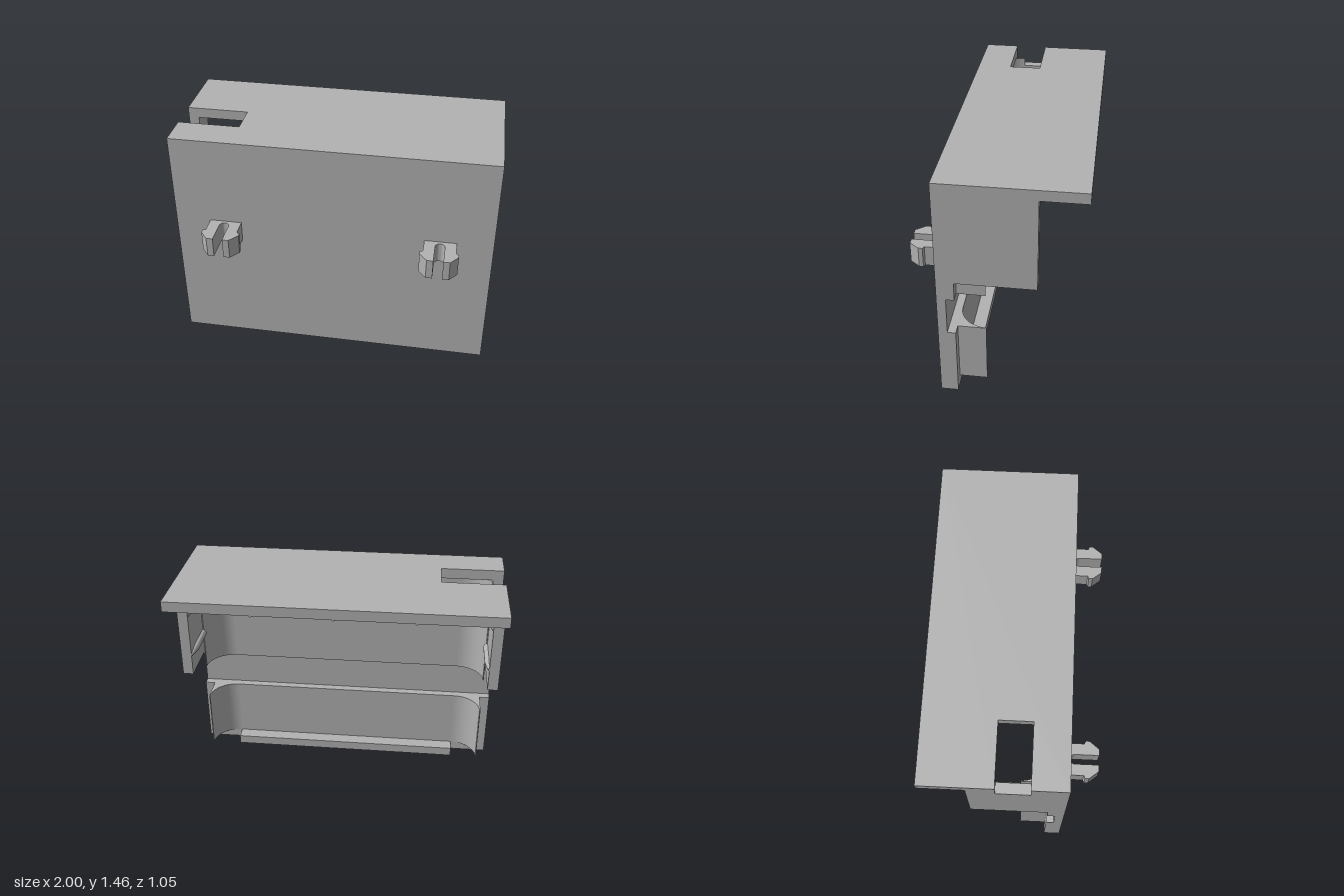
import * as THREE from 'three';
import { toCreasedNormals } from 'three/addons/utils/BufferGeometryUtils.js';

const grey = new THREE.MeshStandardMaterial({ color: 0xb2b2b2 });
grey.name = 'grey plastic';

function part(name, geometry) {
  const mesh = new THREE.Mesh(toCreasedNormals(geometry, 0.5), grey);
  mesh.name = name;
  return mesh;
}

function extrude(shape, depth) {
  return new THREE.ExtrudeGeometry(shape, { depth, bevelEnabled: false, curveSegments: 20 });
}

// Plan outline drawn with [x, z] points, raised from y0 to y1
function planShape(points) {
  return new THREE.Shape(points.map(([x, z]) => new THREE.Vector2(x, -z)));
}
function raise(shape, y0, y1) {
  return extrude(shape, y1 - y0).rotateX(-Math.PI / 2).translate(0, y0, 0);
}

// Side outline drawn with [z, y] points, swept from x0 to x1
function sweep(points, x0, x1) {
  const shape = new THREE.Shape(points.map(([z, y]) => new THREE.Vector2(-z, y)));
  return extrude(shape, x1 - x0).rotateY(Math.PI / 2).translate(x0, 0, 0);
}

// Points of an arc in plan
function arc(cx, cz, r, from, to, steps) {
  return Array.from({ length: steps + 1 }, (_, i) => {
    const a = from + (to - from) * i / steps;
    return [cx + r * Math.cos(a), cz + r * Math.sin(a)];
  });
}

// Round rib with a pointed end, running from zStart back to zEnd
function rib(name, r, x, y, zStart, zEnd) {
  const length = zStart - zEnd;
  const profile = [[0, 0], [r, 0], [r, length - 0.095], [0.008, length], [0, length]]
    .map(([a, b]) => new THREE.Vector2(a, b));
  return part(name, new THREE.LatheGeometry(profile, 24).rotateX(-Math.PI / 2).translate(x, y, zStart));
}

export function createModel() {
  const group = new THREE.Group();
  group.name = 'housing cover';
  const H = 1.455, under = 1.39, front = 0.325, inner = 0.22, wall = 0.935;

  // Front plate with a full-width groove across its back
  group.add(part('frontPlate', sweep([
    [front, 0], [front, under], [inner, under], [inner, 0.69], [0.27, 0.69],
    [0.27, 0.45], [inner, 0.45], [inner, 0],
  ], -1, 1)));

  // Top plate with a cutout open to one side
  group.add(part('topPlate', raise(planShape([
    [-1, -0.525], [1, -0.525], [1, front], [-1, front],
    [-1, 0.11], [-0.61, 0.11], [-0.61, -0.09], [-1, -0.09],
  ]), under, H)));

  // Side walls, one of them notched below the cutout
  const notch = [[-0.09, under], [-0.09, 1.335], [0.11, 1.335], [0.11, under]];
  const sideOutline = (extra) => [[inner, 0.81], [-0.255, 0.81], [-0.255, under], ...extra, [inner, under]];
  group.add(part('plainSideWall', sweep(sideOutline([]), wall, 1)));
  group.add(part('notchedSideWall', sweep(sideOutline(notch), -1, -wall)));

  // Rounded inner corners, above and below the groove
  for (const s of [-1, 1]) {
    const corner = [[0.76, inner], [wall, inner], [wall, 0.05],
      ...arc(0.76, 0.05, 0.17, 0, Math.PI / 2, 16).slice(0, -1)].map(([x, z]) => [s * x, z]);
    group.add(part('upperCorner', raise(planShape(corner), 0.69, under)));
    group.add(part('lowerCorner', raise(planShape(corner), 0.06, 0.45)));
  }

  // Lip along the bottom edge
  group.add(part('bottomLip', new THREE.BoxGeometry(1.52, 0.06, 0.085).translate(0, 0.03, 0.1775)));

  // Pointed ribs under the top and inside the side walls
  for (const x of [-0.48, 0, 0.48]) group.add(rib('topRib', 0.04, x, under, 0.045, -0.525));
  for (const s of [-1, 1]) {
    for (const y of [0.95, 1.23]) group.add(rib('sideRib', 0.025, s * wall, y, 0.045, -0.25));
  }

  // Split snap clips on the front
  const half = [[0.1, front], [0.1, 0.432], [0.118, 0.44], [0.118, 0.465], [0.07, 0.525], [0.03, 0.525]];
  const clipOutline = [
    ...half,
    ...arc(0, 0.375, 0.03, 0, -Math.PI, 16),
    ...half.map(([x, z]) => [-x, z]).reverse(),
  ];
  for (const s of [-1, 1]) {
    const clip = part('snapClip', raise(planShape(clipOutline), 0.76, 0.89));
    clip.position.x = s * 0.677;
    group.add(clip);
  }

  return group;
}
